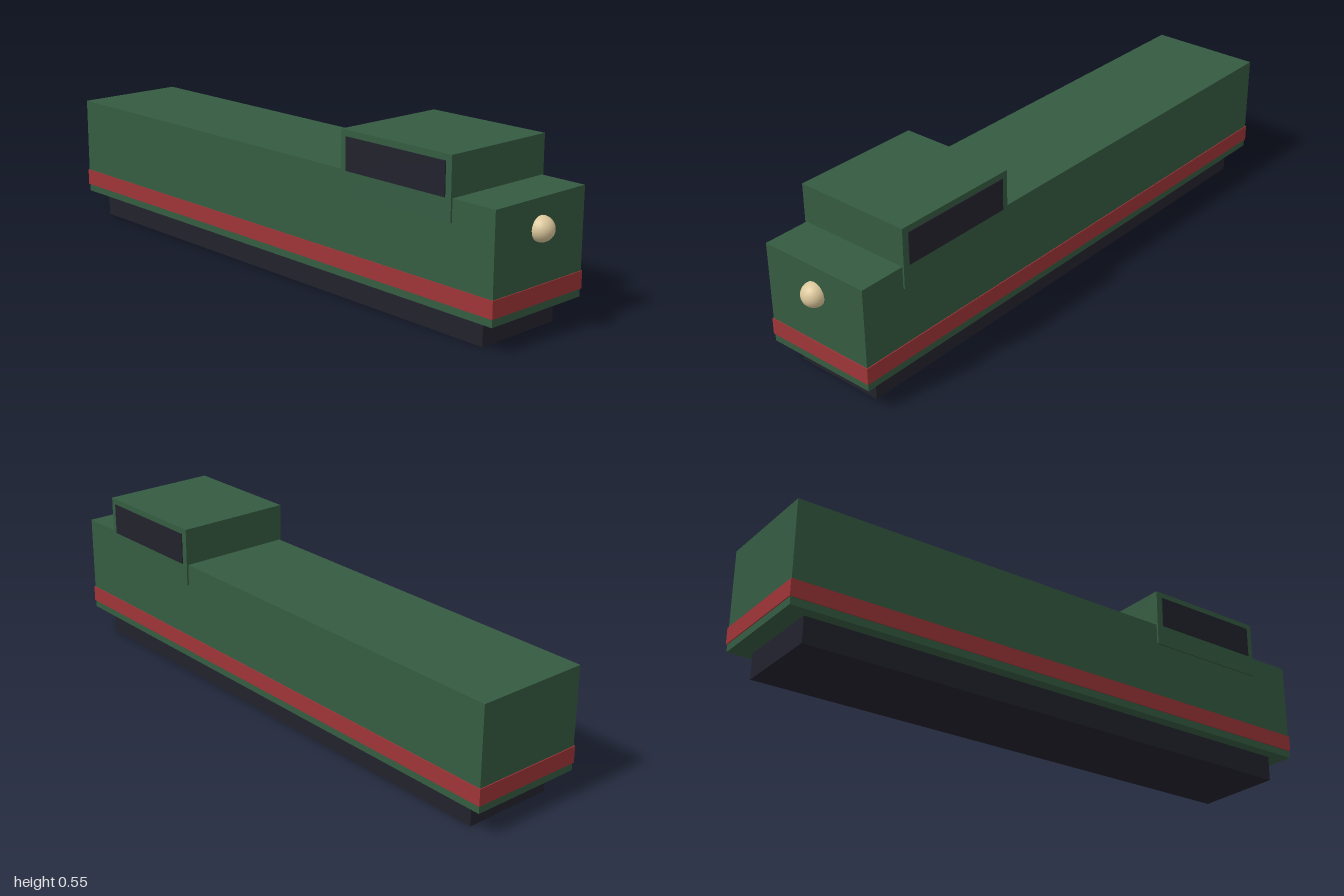
import * as THREE from 'three';

function material(name, color) {
  const m = new THREE.MeshStandardMaterial({ color });
  m.name = name;
  return m;
}

export function createModel() {
  const green = material('green paint', 0x355b41);
  const red = material('red stripe', 0x9e3537);
  const dark = material('dark', 0x22222d);
  const cream = material('cream lamp', 0xdcc89c);

  const group = new THREE.Group();
  group.name = 'locomotive';

  // Box given by its lower and upper corners
  function box(name, mat, [x0, y0, z0], [x1, y1, z1]) {
    const mesh = new THREE.Mesh(new THREE.BoxGeometry(x1 - x0, y1 - y0, z1 - z0), mat);
    mesh.position.set((x0 + x1) / 2, (y0 + y1) / 2, (z0 + z1) / 2);
    mesh.name = name;
    group.add(mesh);
  }

  // Hull, band and frame
  box('underframe', dark, [-0.156, 0, -0.932], [0.156, 0.086, 0.892]);
  box('body', green, [-0.195, 0.085, -0.997], [0.195, 0.424, 0.957]);
  box('stripe', red, [-0.198, 0.11, -1], [0.198, 0.165, 0.96]);

  // Raised cab with a window plate on each side
  box('cab', green, [-0.201, 0.353, 0.358], [0.201, 0.549, 0.8]);
  box('leftWindow', dark, [0.199, 0.424, 0.38], [0.204, 0.529, 0.778]);
  box('rightWindow', dark, [-0.204, 0.424, 0.38], [-0.199, 0.529, 0.778]);

  // Headlamp
  const lamp = new THREE.Mesh(new THREE.SphereGeometry(0.039, 24, 16), cream);
  lamp.position.set(0, 0.333, 0.961);
  lamp.name = 'headlamp';
  group.add(lamp);

  return group;
}
